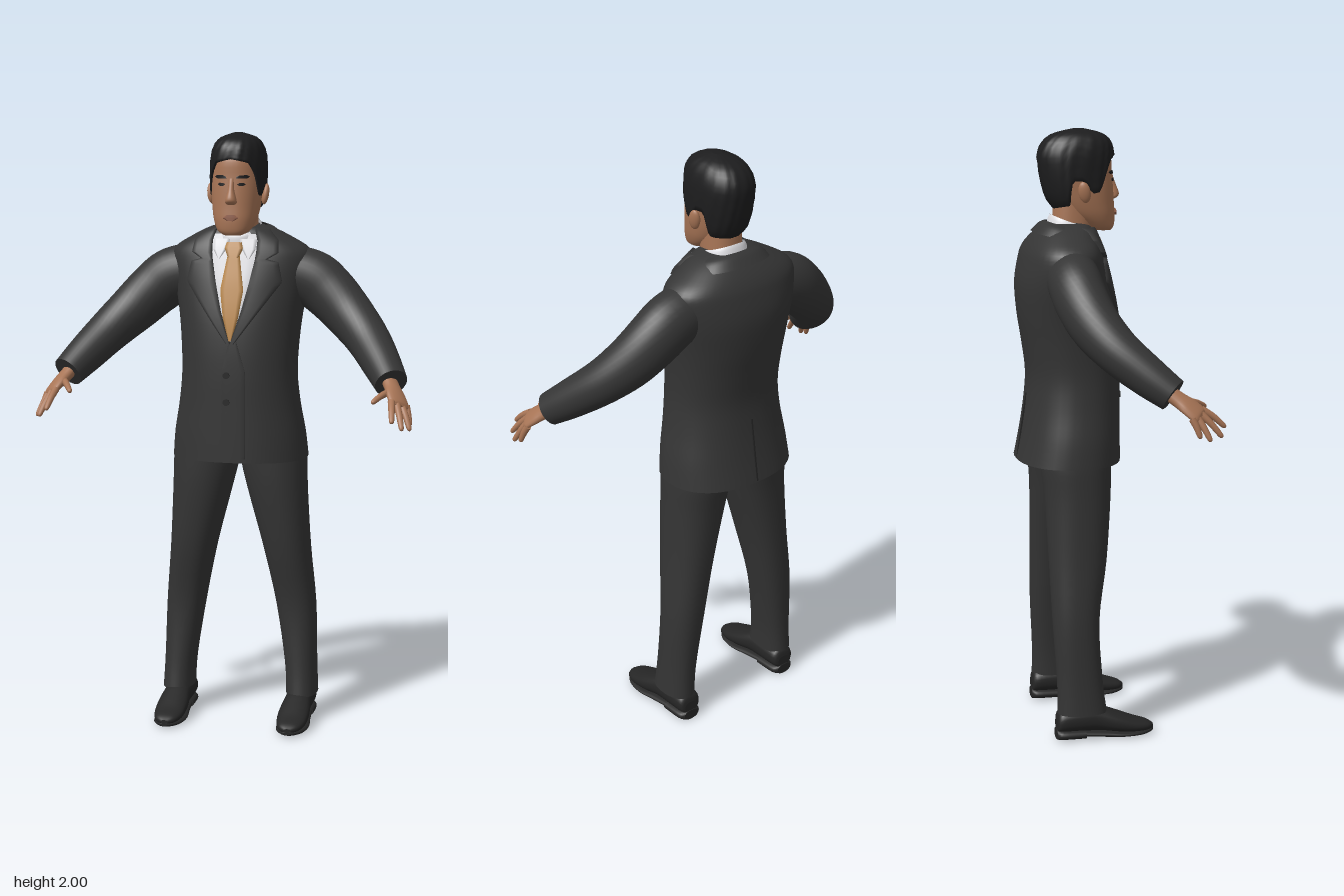
import * as THREE from 'three';

const mat = (name, color) => Object.assign(new THREE.MeshStandardMaterial({ color, side: THREE.DoubleSide }), { name });
const suit = mat('charcoal suit', 0x353535), trouserCloth = mat('charcoal trousers', 0x343434);
const shoeLeather = mat('dark leather', 0x262626), hairDark = mat('dark hair', 0x1d1d1e);
const skin = mat('skin', 0xa87556), lipTone = mat('lips', 0x8f5d49);
const white = mat('white shirt', 0xdedee2), gold = mat('gold tie', 0xb98648);

const P = 2.3; // roundness of the body cross-sections
const sp = (v) => Math.sign(v) * Math.abs(v) ** (2 / P);

// Densify rows of numbers with a Catmull-Rom curve through every column
function refine(rows, k = 4) {
  const out = [], at = (i) => rows[Math.min(Math.max(i, 0), rows.length - 1)];
  for (let i = 0; i < rows.length - 1; i++) for (let s = 0; s < k; s++) {
    const t = s / k;
    out.push(rows[i].map((b, c) => {
      const a = at(i - 1)[c], d = at(i + 1)[c], e = at(i + 2)[c];
      return b + 0.5 * t * (d - a + t * (2 * a - 5 * b + 4 * d - e + t * (3 * (b - d) + e - a)));
    }));
  }
  return [...out, rows.at(-1)];
}

// Row of a profile (ascending in its first column) at a given height
function rowAt(rows, y) {
  let i = 0;
  while (i < rows.length - 2 && rows[i + 1][0] < y) i++;
  const t = THREE.MathUtils.clamp((y - rows[i][0]) / (rows[i + 1][0] - rows[i][0]), 0, 1);
  return rows[i].map((v, c) => v + (rows[i + 1][c] - v) * t);
}

// Skin closed rings of points, with flat end caps
function loft(name, material, rings, caps = true) {
  const n = rings[0].length, pos = rings.flat(2), idx = [];
  for (let i = 0; i < rings.length - 1; i++) for (let j = 0; j < n; j++) {
    const a = i * n + j, b = i * n + (j + 1) % n;
    idx.push(a, b, b + n, a, b + n, a + n);
  }
  if (caps) [rings[0], rings.at(-1)].forEach((r, end) => {
    const base = pos.length / 3;
    pos.push(...r.flat(), ...[0, 1, 2].map((c) => r.reduce((s, p) => s + p[c], 0) / n));
    for (let j = 0; j < n; j++) {
      const a = base + j, b = base + (j + 1) % n;
      idx.push(...(end ? [a, b, base + n] : [b, a, base + n]));
    }
  });
  return mesh(name, material, pos, idx);
}

function mesh(name, material, pos, idx) {
  const g = new THREE.BufferGeometry();
  g.setAttribute('position', new THREE.Float32BufferAttribute(pos, 3));
  g.setIndex(idx);
  g.computeVertexNormals();
  return Object.assign(new THREE.Mesh(g, material), { name });
}

// Upright form; rows are [y, centre x, half width, front z, back z]
const ringAt = ([y, cx, w, zf, zb], tilt = 0, n = 40) => Array.from({ length: n }, (_, j) => {
  const f = j / n * Math.PI * 2;
  return [cx + w * sp(Math.sin(f)), y - tilt * Math.cos(f), (zf + zb) / 2 + (zf - zb) / 2 * sp(Math.cos(f))];
});
const column = (name, material, rows, tilt = 0, caps = true) =>
  loft(name, material, refine(rows).map((r) => ringAt(r, tilt)), caps);

// Limb along a path; rows are [x, y, z, radius along ref, radius across]
function limb(name, material, rows, ref, n = 20) {
  const pts = refine(rows, 5), v3 = (r) => new THREE.Vector3(r[0], r[1], r[2]);
  return loft(name, material, pts.map((r, i) => {
    const t = v3(pts[Math.min(i + 1, pts.length - 1)]).sub(v3(pts[Math.max(i - 1, 0)])).normalize();
    const u = ref.clone().addScaledVector(t, -ref.dot(t)).normalize(), v = t.clone().cross(u);
    return Array.from({ length: n }, (_, j) => {
      const a = j / n * Math.PI * 2;
      return v3(r).addScaledVector(u, Math.max(r[3], 0.001) * Math.cos(a))
        .addScaledVector(v, Math.max(r[4], 0.001) * Math.sin(a)).toArray();
    });
  }));
}

// Thin panel lying on the front of a column; outline rows are [y, x0, x1]
function patch(name, material, body, outline, off) {
  const cols = [0, 0, 0.2, 0.4, 0.6, 0.8, 1, 1], pos = [], idx = [], N = 28, n = cols.length;
  const y0 = outline[0][0], y1 = outline.at(-1)[0];
  for (let i = 0; i <= N; i++) {
    const y = y0 + (y1 - y0) * i / N, [, a, b] = rowAt(outline, y), [, , w, zf, zb] = rowAt(body, y);
    cols.forEach((t, c) => {
      const x = THREE.MathUtils.clamp(a + (b - a) * t, -w * 0.97, w * 0.97);
      const z = (zf + zb) / 2 + (zf - zb) / 2 * (1 - Math.abs(x / w) ** P) ** (1 / P);
      pos.push(x, y, z + (c === 0 || c === n - 1 ? 0 : off));
    });
  }
  for (let i = 0; i < N; i++) for (let c = 0; c < n - 1; c++) {
    const a = i * n + c;
    idx.push(a, a + 1, a + n + 1, a, a + n + 1, a + n);
  }
  return mesh(name, material, pos, idx);
}

// Shoe form running heel to toe; rows are [z, half width, bottom y, top y]
const shoeForm = (name, rows) => loft(name, shoeLeather, refine(rows).map(([z, w, b, t]) =>
  Array.from({ length: 28 }, (_, j) => {
    const a = j / 28 * Math.PI * 2;
    return [0.213 + w * sp(Math.cos(a)), (b + t) / 2 + (t - b) / 2 * sp(Math.sin(a)), z];
  })));

const torso = [
  [0.915, 0, 0.23, 0.07, -0.272], [1.0, 0, 0.222, 0.07, -0.255], [1.1, 0, 0.205, 0.07, -0.24],
  [1.2, 0, 0.195, 0.07, -0.233], [1.3, 0, 0.198, 0.066, -0.245], [1.4, 0, 0.208, 0.055, -0.26],
  [1.5, 0, 0.226, 0.034, -0.265], [1.58, 0, 0.24, 0.012, -0.25], [1.62, 0, 0.225, 0, -0.235],
  [1.655, 0, 0.17, -0.012, -0.21], [1.685, 0, 0.11, -0.022, -0.178], [1.7, 0, 0.06, -0.045, -0.15]];
const head = [
  [1.67, 0, 0.03, 0.05, 0], [1.685, 0, 0.054, 0.058, -0.04], [1.72, 0, 0.07, 0.061, -0.09],
  [1.76, 0, 0.078, 0.058, -0.12], [1.81, 0, 0.083, 0.055, -0.14], [1.86, 0, 0.085, 0.051, -0.16],
  [1.92, 0, 0.08, 0.045, -0.165], [1.965, 0, 0.055, 0.01, -0.13]];
const hairShape = refine([
  [1.73, 0, 0.07, 0.03, -0.13], [1.77, 0, 0.084, 0.05, -0.163], [1.82, 0, 0.09, 0.058, -0.18],
  [1.87, 0, 0.092, 0.058, -0.19], [1.92, 0, 0.09, 0.058, -0.194], [1.96, 0, 0.078, 0.048, -0.175],
  [1.985, 0, 0.056, 0.018, -0.14], [2.0, 0, 0.015, -0.04, -0.075]]);
// Hairline height by angle from the front: fringe, sideburn, ear, nape
const hairline = [[0, 1.918], [0.6, 1.905], [0.85, 1.87], [1.1, 1.8], [1.35, 1.795], [1.55, 1.835],
  [1.8, 1.835], [2.05, 1.755], [3.15, 1.742]];

function makeHair() {
  const rings = [], n = 72, S = 16;
  for (let k = -1; k <= S; k++) rings.push(Array.from({ length: n }, (_, j) => {
    const f = j / n * Math.PI * 2, s = Math.max(k, 0) / S;
    const low = rowAt(hairline, Math.min(f, Math.PI * 2 - f))[1];
    const y = low + (2.0 - low) * Math.sin(s * Math.PI / 2);
    const [, , w, zf, zb] = rowAt(hairShape, y);
    const m = k < 0 ? 0.84 : 1 + 0.018 * Math.sin(f * 13 + s * 19) * Math.sin(f * 5 - s * 27);
    return [w * m * sp(Math.sin(f)), y, (zf + zb) / 2 + (zf - zb) / 2 * m * sp(Math.cos(f))];
  }));
  return loft('hair', hairDark, rings);
}

// Left half of everything that comes in pairs
function makeSide() {
  const side = new THREE.Group(), body = refine(torso), face = refine(head);
  side.add(limb('sleeve', suit, [
    [0.13, 1.545, -0.115, 0.09, 0.085], [0.235, 1.518, -0.12, 0.096, 0.086], [0.3, 1.472, -0.113, 0.092, 0.084],
    [0.37, 1.405, -0.085, 0.084, 0.079], [0.44, 1.335, -0.03, 0.073, 0.073], [0.5, 1.265, 0.05, 0.064, 0.064],
    [0.543, 1.212, 0.118, 0.054, 0.055]], new THREE.Vector3(0, 1, 0), 32));
  // Hand
  const across = new THREE.Vector3(0.675, -0.3, -0.675);
  side.add(limb('palm', skin, [
    [0.53, 1.225, 0.1, 0.028, 0.023], [0.55, 1.198, 0.135, 0.03, 0.021], [0.565, 1.178, 0.163, 0.038, 0.018],
    [0.58, 1.155, 0.19, 0.039, 0.014], [0.585, 1.149, 0.199, 0.03, 0.006]], across));
  const fingers = { thumb: [[0.545, 1.19, 0.16], [0.5, 1.163, 0.236]], index: [[0.558, 1.166, 0.207], [0.57, 1.108, 0.28]],
    middle: [[0.573, 1.159, 0.195], [0.6, 1.083, 0.262]], ring: [[0.587, 1.152, 0.18], [0.62, 1.076, 0.22]],
    little: [[0.6, 1.146, 0.165], [0.616, 1.086, 0.188]] };
  for (const [name, [a, b]] of Object.entries(fingers)) {
    const at = (t, r) => [...a.map((v, c) => v + (b[c] - v) * t + (c === 1 ? 0.02 * t * (1 - t) : 0)), r, r];
    side.add(limb(name + 'Finger', skin, [at(0, 0.012), at(0.5, 0.0105), at(0.92, 0.008), at(1, 0.002)], across, 12));
  }
  side.add(column('trouserLeg', trouserCloth, [
    [0.09, 0.218, 0.053, -0.015, -0.18], [0.2, 0.212, 0.054, -0.028, -0.18], [0.4, 0.193, 0.067, -0.035, -0.19],
    [0.6, 0.163, 0.079, -0.004, -0.195], [0.8, 0.131, 0.1, 0.015, -0.2], [0.92, 0.115, 0.112, 0.02, -0.21],
    [1.0, 0.11, 0.105, 0.02, -0.2]]));
  side.add(shoeForm('shoeUpper', [
    [-0.183, 0.026, 0.03, 0.07], [-0.17, 0.042, 0.025, 0.1], [-0.1, 0.046, 0.024, 0.11], [-0.04, 0.046, 0.022, 0.105],
    [0.02, 0.052, 0.014, 0.082], [0.08, 0.05, 0.01, 0.057], [0.125, 0.036, 0.012, 0.042], [0.145, 0.012, 0.016, 0.03]]));
  side.add(shoeForm('shoeSole', [[-0.1, 0.04, 0.008, 0.03], [-0.02, 0.048, 0.002, 0.026], [0.04, 0.055, 0, 0.02],
    [0.1, 0.047, 0, 0.02], [0.135, 0.026, 0.004, 0.02], [0.146, 0.01, 0.008, 0.02]]));
  side.add(shoeForm('shoeHeel', [[-0.185, 0.03, 0, 0.036], [-0.165, 0.044, 0, 0.036], [-0.09, 0.046, 0, 0.034]]));
  // Lapel with its notch, jacket collar leaf and shirt collar point
  side.add(patch('lapel', suit, body, [[1.315, 0, 0.012], [1.42, 0.034, 0.09], [1.515, 0.057, 0.16],
    [1.585, 0.071, 0.145], [1.59, 0.072, 0.11]], 0.012));
  side.add(patch('collarLeaf', suit, body, [[1.59, 0.072, 0.11], [1.61, 0.075, 0.145], [1.65, 0.076, 0.14],
    [1.685, 0.066, 0.105]], 0.014));
  side.add(patch('shirtCollarPoint', white, body, [[1.59, 0.048, 0.052], [1.62, 0.028, 0.07], [1.655, 0.014, 0.074]], 0.011));
  // Ear, brow and eye
  const ear = new THREE.Mesh(new THREE.SphereGeometry(1, 16, 12), skin);
  ear.name = 'ear';
  ear.scale.set(0.012, 0.035, 0.02);
  ear.position.set(0.091, 1.8, -0.058);
  ear.rotation.set(-0.15, 0.35, -0.12);
  side.add(ear);
  side.add(patch('eyebrow', hairDark, face, [[1.855, 0.016, 0.05], [1.861, 0.018, 0.058], [1.866, 0.03, 0.05]], 0.003));
  side.add(patch('eye', hairDark, face, [[1.831, 0.028, 0.038], [1.836, 0.02, 0.047], [1.841, 0.028, 0.04]], 0.003));
  return side;
}

export function createModel() {
  const model = new THREE.Group(), body = refine(torso), face = refine(head);
  model.name = 'manInSuit';
  model.add(column('jacket', suit, torso));
  // Shirt front, tie and buttoned edge
  model.add(patch('shirtFront', white, body, [[1.32, 0, 0], [1.45, -0.045, 0.045], [1.6, -0.077, 0.077], [1.67, -0.076, 0.076]], 0.005));
  model.add(patch('tie', gold, body, [[1.325, -0.004, 0.004], [1.4, -0.025, 0.025], [1.49, -0.038, 0.038],
    [1.6, -0.02, 0.02]], 0.013));
  model.add(patch('tieKnot', gold, body, [[1.595, -0.017, 0.017], [1.625, -0.03, 0.03], [1.645, -0.024, 0.024]], 0.019));
  model.add(patch('jacketFrontEdge', suit, body, [[0.93, -0.03, 0.05], [1.22, -0.028, 0.05], [1.32, -0.005, 0.02]], 0.004));
  for (const y of [1.12, 1.21]) {
    const button = new THREE.Mesh(new THREE.CylinderGeometry(0.011, 0.011, 0.008, 16), shoeLeather);
    button.name = 'button';
    button.rotation.x = Math.PI / 2;
    button.position.set(-0.012, y, 0.076);
    model.add(button);
  }
  const vent = new THREE.Mesh(new THREE.BoxGeometry(0.006, 0.22, 0.006), shoeLeather);
  vent.name = 'backVent';
  vent.position.set(0, 1.027, -0.252);
  vent.rotation.x = 0.15;
  model.add(vent);
  // Collars and neck
  model.add(column('jacketCollar', suit, [[1.655, 0, 0.135, -0.05, -0.212], [1.68, 0, 0.112, -0.05, -0.188],
    [1.69, 0, 0.086, -0.05, -0.168]], 0.014, false));
  model.add(column('shirtCollar', white, [[1.65, 0, 0.082, 0.002, -0.168], [1.685, 0, 0.074, 0, -0.158],
    [1.697, 0, 0.068, -0.006, -0.152]], 0.027, false));
  model.add(column('neck', skin, [[1.6, 0, 0.062, -0.03, -0.14], [1.68, 0, 0.062, -0.014, -0.145], [1.78, 0, 0.062, 0, -0.14]]));
  // Head
  model.add(column('head', skin, head));
  model.add(column('nose', skin, [[1.77, 0, 0.014, 0.06, 0.03], [1.777, 0, 0.02, 0.072, 0.03], [1.79, 0, 0.018, 0.077, 0.03],
    [1.82, 0, 0.011, 0.066, 0.03], [1.855, 0, 0.01, 0.054, 0.03]]));
  model.add(patch('lips', lipTone, face, [[1.718, -0.01, 0.01], [1.728, -0.026, 0.026], [1.738, -0.012, 0.012]], 0.006));
  model.add(makeHair());
  // Mirrored halves
  const left = makeSide(), right = makeSide();
  left.name = 'leftSide';
  right.name = 'rightSide';
  right.scale.x = -1;
  model.add(left, right);
  return model;
}
